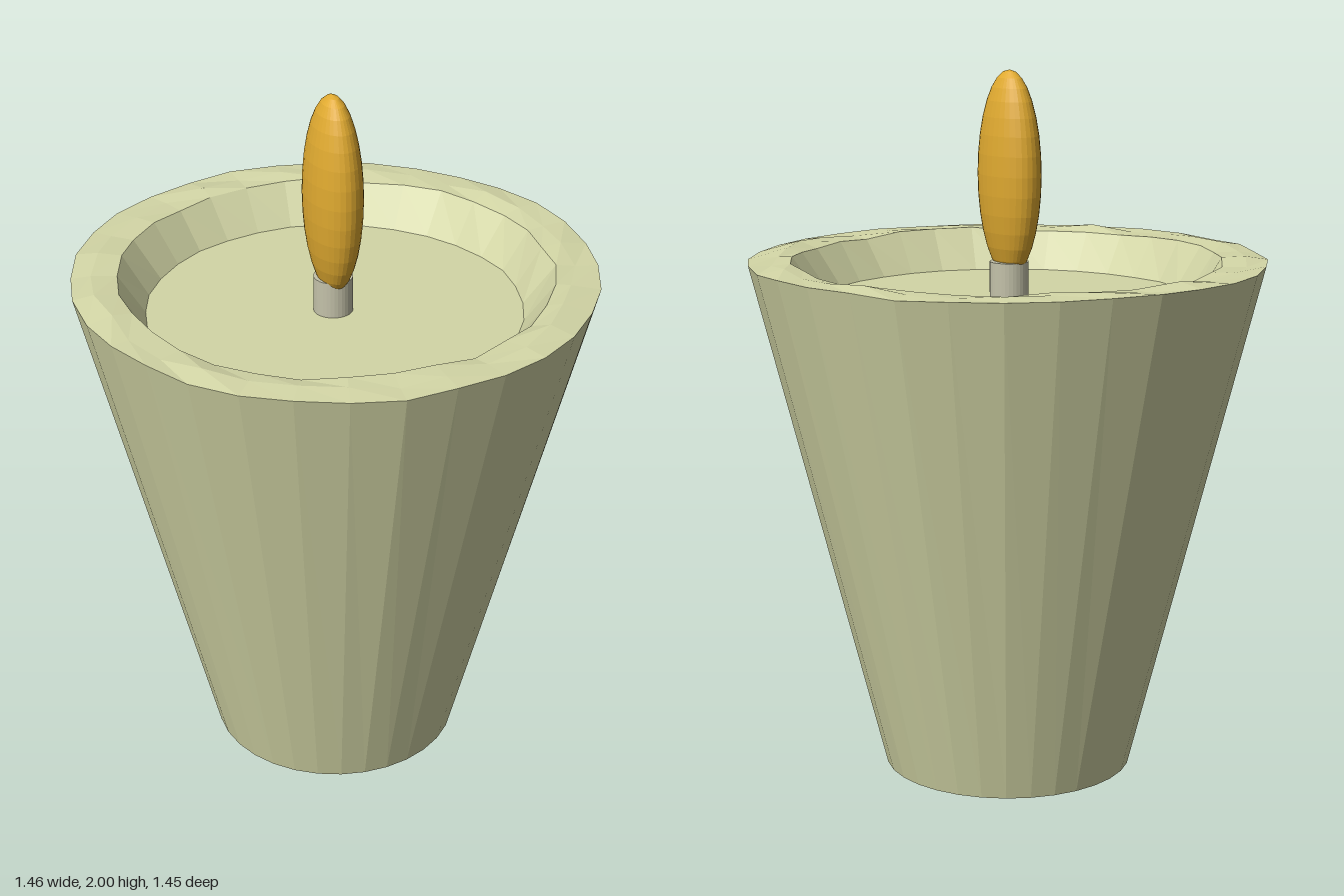
import * as THREE from 'three';

const SIDES = 32;

// Repeatable noise in -1..1 for a given side and ring
function noise(side, ring) {
  const s = Math.sin(side * 127.1 + ring * 311.7) * 43758.5453;
  return (s - Math.floor(s)) * 2 - 1;
}

function flat(color) {
  return new THREE.MeshStandardMaterial({ color, flatShading: true });
}

function addMesh(group, name, geometry, material, x, y, z) {
  const mesh = new THREE.Mesh(geometry, material);
  mesh.name = name;
  mesh.position.set(x, y, z);
  group.add(mesh);
  return mesh;
}

// Tapered body with a rough, hand-broken rim around a shallow hollow
function bodyGeometry() {
  // radius, height, radial roughness, vertical roughness
  const rings = [
    [0, 0, 0, 0],
    [0.355, 0, 0, 0],
    [0.728, 1.472, 0.005, 0.004],
    [0.66, 1.478, 0.015, 0.009],
    [0.605, 1.472, 0.008, 0.007],
    [0.528, 1.36, 0.004, 0],
    [0, 1.36, 0, 0],
  ];
  const geometry = new THREE.LatheGeometry(
    rings.map(([r, y]) => new THREE.Vector2(r, y)), SIDES);
  const pos = geometry.attributes.position;
  for (let i = 0; i < pos.count; i++) {
    const ring = i % rings.length;
    const side = Math.floor(i / rings.length) % SIDES;
    const [r, y, roughR, roughY] = rings[ring];
    if (r === 0) continue;
    const radius = r + roughR * noise(side, ring);
    const angle = (side / SIDES) * Math.PI * 2;
    pos.setXYZ(i, radius * Math.sin(angle), y + roughY * noise(side, ring + 20),
      radius * Math.cos(angle));
  }
  geometry.computeVertexNormals();
  return geometry;
}

export function createModel() {
  const candle = new THREE.Group();
  candle.name = 'candle';

  addMesh(candle, 'waxBody', bodyGeometry(), flat(0xd3d6a6), 0, 0, 0);

  // Short wick standing on the hollow's floor
  addMesh(candle, 'wick', new THREE.CylinderGeometry(0.055, 0.055, 0.11, 32),
    flat(0xc4c2aa), -0.008, 1.41, 0.005);

  // Flattened ellipsoid flame
  const flame = addMesh(candle, 'flame', new THREE.SphereGeometry(1, 32, 16),
    flat(0xe0aa30), -0.012, 1.71, 0.01);
  flame.scale.set(0.075, 0.29, 0.117);

  return candle;
}
